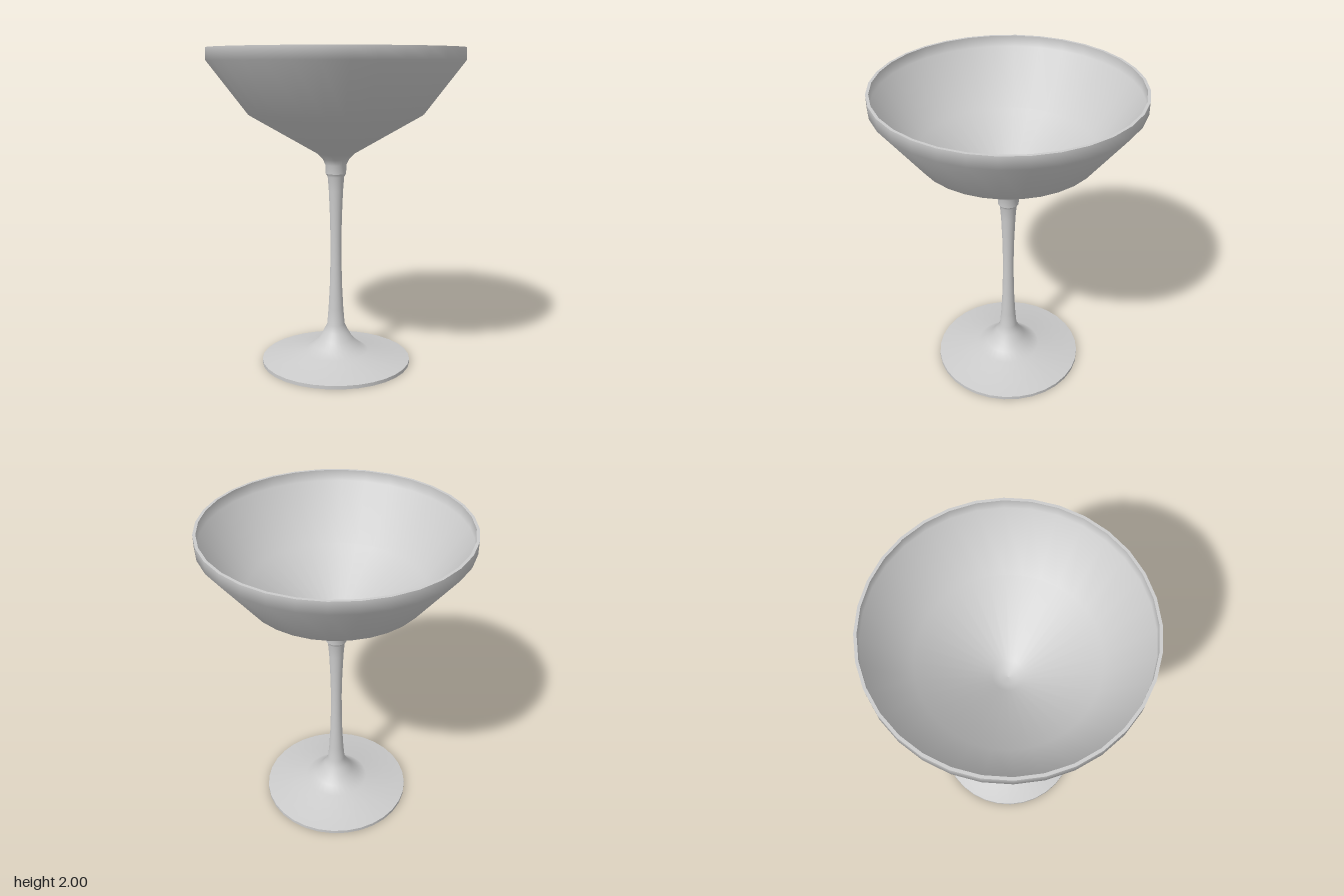
import * as THREE from 'three';

const SEGMENTS = 32;

export function createModel() {
  const group = new THREE.Group();
  const material = new THREE.MeshStandardMaterial({ color: 0xcccccc });

  // Turns a profile of [radius, height] pairs; each part is smooth, seams between parts stay sharp.
  const turn = (name, profile) => {
    const points = profile.map(([r, y]) => new THREE.Vector2(r, y));
    const mesh = new THREE.Mesh(new THREE.LatheGeometry(points, SEGMENTS), material);
    mesh.name = name;
    group.add(mesh);
  };

  // Foot: flat underside, thin edge, and a top flaring up into the stem
  turn('footUnderside', [[0, 0], [0.478, 0]]);
  turn('footEdge', [[0.478, 0], [0.478, 0.022]]);
  turn('footAndStem', [
    [0.478, 0.022], [0.21, 0.07], [0.152, 0.11], [0.11, 0.15], [0.08, 0.2], [0.057, 0.245],
    [0.048, 0.35], [0.04, 0.5], [0.036, 0.65], [0.035, 0.8], [0.038, 0.95],
    [0.045, 1.12], [0.052, 1.21], [0.064, 1.23],
  ]);

  // Bowl: collar and outer wall, rim, inner wall
  turn('bowlOutside', [
    [0.064, 1.23], [0.066, 1.285], [0.082, 1.32], [0.118, 1.357],
    [0.54, 1.6], [0.787, 1.925], [0.787, 2],
  ]);
  turn('bowlRim', [[0.787, 2], [0.77, 2]]);
  turn('bowlInside', [
    [0.77, 2], [0.77, 1.93], [0.528, 1.615], [0.095, 1.367], [0.05, 1.345], [0, 1.338],
  ]);

  return group;
}
